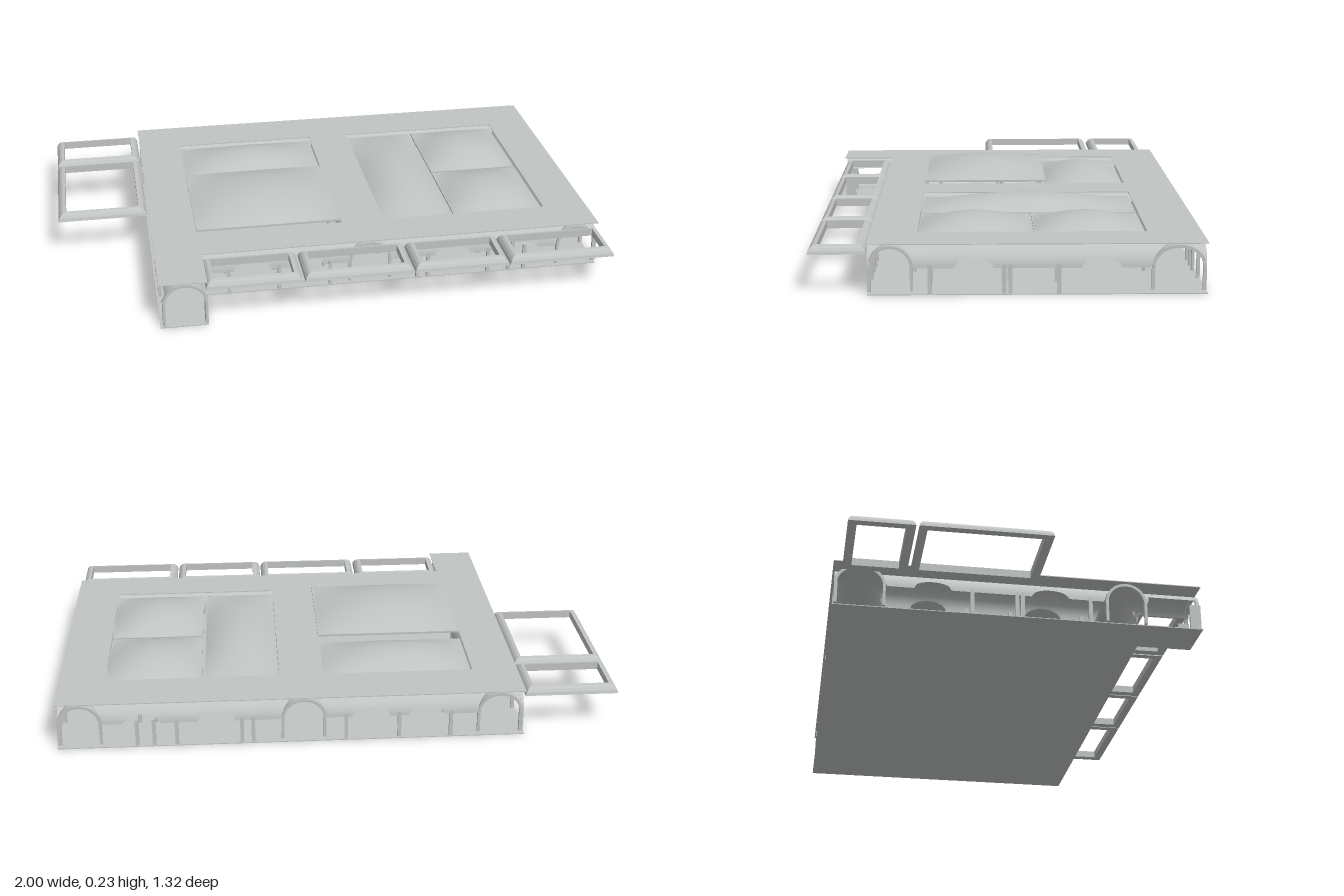
import * as THREE from 'three';

const grey = new THREE.MeshStandardMaterial({ color: 0xc0c4c2, side: THREE.DoubleSide });
grey.name = 'stoneGrey';

const SPRING = 0.09, RISE = 0.075, TOP = 0.17;

function add(parent, name, geometry) {
  const mesh = new THREE.Mesh(geometry, grey);
  mesh.name = name;
  parent.add(mesh);
  return mesh;
}

function box(parent, name, x0, x1, y0, y1, z0, z1) {
  const m = add(parent, name, new THREE.BoxGeometry(x1 - x0, y1 - y0, z1 - z0));
  m.position.set((x0 + x1) / 2, (y0 + y1) / 2, (z0 + z1) / 2);
}

// Smooth grid surface; point(u, v) returns [x, y, z] for u, v in 0..1
function surface(nu, nv, point) {
  const pos = [], idx = [];
  for (let i = 0; i <= nu; i++) for (let j = 0; j <= nv; j++) pos.push(...point(i / nu, j / nv));
  for (let i = 0; i < nu; i++) for (let j = 0; j < nv; j++) {
    const a = i * (nv + 1) + j, b = a + nv + 1;
    idx.push(a, a + 1, b, b, a + 1, b + 1);
  }
  const g = new THREE.BufferGeometry();
  g.setAttribute('position', new THREE.Float32BufferAttribute(pos, 3));
  g.setIndex(idx);
  g.computeVertexNormals();
  return g;
}

// L-shaped slab with optional rectangular openings
function slab(parent, name, y, thickness, openings) {
  const s = new THREE.Shape([[-0.66, -0.66], [-0.49, -0.66], [-0.49, -0.46], [1, -0.46], [1, 0.66], [-0.66, 0.66]]
    .map(p => new THREE.Vector2(...p)));
  for (const [x0, x1, z0, z1] of openings) {
    s.holes.push(new THREE.Path([[x0, -z0], [x1, -z0], [x1, -z1], [x0, -z1]].map(p => new THREE.Vector2(...p))));
  }
  const g = new THREE.ExtrudeGeometry(s, { depth: thickness, bevelEnabled: false });
  g.rotateX(-Math.PI / 2);
  add(parent, name, g).position.y = y;
}

// Pillow-shaped canopy over a rectangle
function canopy(parent, name, x0, x1, z0, z1, base, rise) {
  const cx = (x0 + x1) / 2, cz = (z0 + z1) / 2, w = (x1 - x0) / 2, d = (z1 - z0) / 2;
  add(parent, name, surface(24, 24, (u, v) => {
    const a = u * 2 - 1, b = v * 2 - 1;
    return [cx + a * w, base + rise * (1 - a * a) * (1 - b * b), cz + b * d];
  }));
  const t = 0.008;
  box(parent, name + 'Rim', x0, x1, base - 0.006, base + 0.001, z0, z0 + t);
  box(parent, name + 'Rim', x0, x1, base - 0.006, base + 0.001, z1 - t, z1);
  box(parent, name + 'Rim', x0, x0 + t, base - 0.006, base + 0.001, z0, z1);
  box(parent, name + 'Rim', x1 - t, x1, base - 0.006, base + 0.001, z0, z1);
}

// Mitred rectangular frame with a rounded outer edge
function frame(parent, name, x0, x1, z0, z1) {
  const profile = [[0, 0.137], [0.003, 0.148], [0.01, 0.158], [0.018, 0.164], [0.03, 0.166], [0.03, 0.138], [0, 0.137]];
  const g = surface(4, profile.length - 1, (u, v) => {
    const k = Math.round(u * 4) % 4, [i, y] = profile[Math.round(v * (profile.length - 1))];
    return [k === 0 || k === 3 ? x0 + i : x1 - i, y, k < 2 ? z0 + i : z1 - i];
  }).toNonIndexed();
  g.computeVertexNormals();
  add(parent, name, g);
}

// Barrel vault with side cut-outs: groins at crossings, small lunettes between
function vault(parent, name, alongX, centre, r, s0, s1, crossings, lunettes, legs) {
  const arch = (s, c, w, h) => Math.abs(s - c) < w ? h * Math.sqrt(1 - ((s - c) / w) ** 2) : 0;
  const put = (s, q, y) => alongX ? [s, y, q] : [q, y, s];
  const group = new THREE.Group();
  group.name = name;
  parent.add(group);
  add(group, 'vaultShell', surface(220, 20, (u, v) => {
    const s = s0 + (s1 - s0) * u;
    let low = s > 0.47 && !alongX ? 0.035 : 0;
    for (const [c, w] of crossings) low = Math.max(low, arch(s, c, w, RISE));
    for (const c of lunettes) low = Math.max(low, arch(s, c, 0.065, 0.032));
    const t0 = Math.asin(Math.min(1, low / RISE)), t = t0 + (Math.PI - 2 * t0) * v;
    return put(s, centre + r * Math.cos(t), SPRING + RISE * Math.sin(t));
  }));
  // Thin posts under both springing lines
  for (const [s, w] of legs) for (const side of [-1, 1]) {
    const q = centre + side * (r - 0.005), a = s - w / 2, b = s + w / 2;
    if (alongX) box(group, 'post', a, b, 0, SPRING + 0.012, q - 0.005, q + 0.005);
    else box(group, 'post', q - 0.005, q + 0.005, 0, SPRING + 0.012, a, b);
  }
  // Arched ribs at the open ends
  for (const e of [s0, s1]) {
    const shape = new THREE.Shape();
    shape.moveTo(-r, 0.012);
    shape.lineTo(-r, SPRING);
    shape.absellipse(0, SPRING, r, RISE, Math.PI, 0, true);
    shape.lineTo(r, 0.012);
    shape.lineTo(r - 0.01, 0.012);
    shape.lineTo(r - 0.01, SPRING);
    shape.absellipse(0, SPRING, r - 0.01, RISE - 0.01, 0, Math.PI, false);
    shape.lineTo(-r + 0.01, 0.012);
    shape.closePath();
    const g = new THREE.ExtrudeGeometry(shape, { depth: 0.012, bevelEnabled: false, curveSegments: 16 });
    g.translate(0, 0, e === s0 ? 0 : -0.012);
    const rib = add(group, 'endRib', g);
    if (alongX) {
      rib.rotation.y = Math.PI / 2;
      rib.position.set(e, 0, centre);
    } else rib.position.set(centre, 0, e);
  }
}

export function createModel() {
  const model = new THREE.Group();
  model.name = 'vaultedPavilion';

  slab(model, 'floor', 0, 0.003, []);
  slab(model, 'roof', TOP, 0.003, [[-0.495, 0.05, -0.475, 0.3], [0.21, 0.835, -0.475, 0.3]]);

  // Canopies over the two courtyards
  canopy(model, 'raisedCanopy', -0.495, 0.05, -0.17, 0.3, 0.185, 0.048);
  canopy(model, 'rearCanopy', -0.495, 0.05, -0.475, -0.175, 0.155, 0.046);
  canopy(model, 'longCanopy', 0.21, 0.48, -0.475, 0.3, 0.155, 0.046);
  canopy(model, 'rearSquareCanopy', 0.49, 0.835, -0.475, -0.095, 0.155, 0.046);
  canopy(model, 'frontSquareCanopy', 0.49, 0.835, -0.085, 0.3, 0.155, 0.046);

  // Vaulted corridors
  const xCross = [[-0.57, 0.08], [0.13, 0.08], [0.92, 0.08]];
  const zCross = [[-0.565, 0.09], [0.385, 0.077]];
  const xLegs = [-0.395, -0.21, -0.02, 0.31, 0.35, 0.58, 0.66, 0.72].map(s => [s, 0.013]);
  const zLegs = [0.255, 0.01, -0.01, -0.17].map(s => [s, 0.014]);
  const xLunettes = [-0.31, -0.11, 0.44, 0.7], zLunettes = [0.11, -0.31];
  vault(model, 'frontCorridor', true, 0.385, 0.075, -0.655, 0.995, xCross, xLunettes, xLegs);
  vault(model, 'rearCorridor', true, -0.565, 0.09, -0.655, 0.995, xCross, xLunettes, xLegs);
  vault(model, 'rightCorridor', false, -0.57, 0.08, -0.655, 0.655, zCross, zLunettes, [...zLegs, [0.638, 0.04]]);
  vault(model, 'middleCorridor', false, 0.13, 0.08, -0.655, 0.46, zCross, zLunettes, zLegs);
  vault(model, 'leftCorridor', false, 0.92, 0.078, -0.655, 0.46, zCross, zLunettes, zLegs);

  // Open frames along the front and the right side
  for (const [x0, x1] of [[-0.495, -0.15], [-0.143, 0.25], [0.255, 0.6], [0.605, 0.995]]) {
    frame(model, 'frontFrame', x0, x1, 0.462, 0.655);
  }
  for (const [z0, z1] of [[-0.63, -0.405], [-0.395, 0.06]]) frame(model, 'sideFrame', -1, -0.665, z0, z1);

  return model;
}
